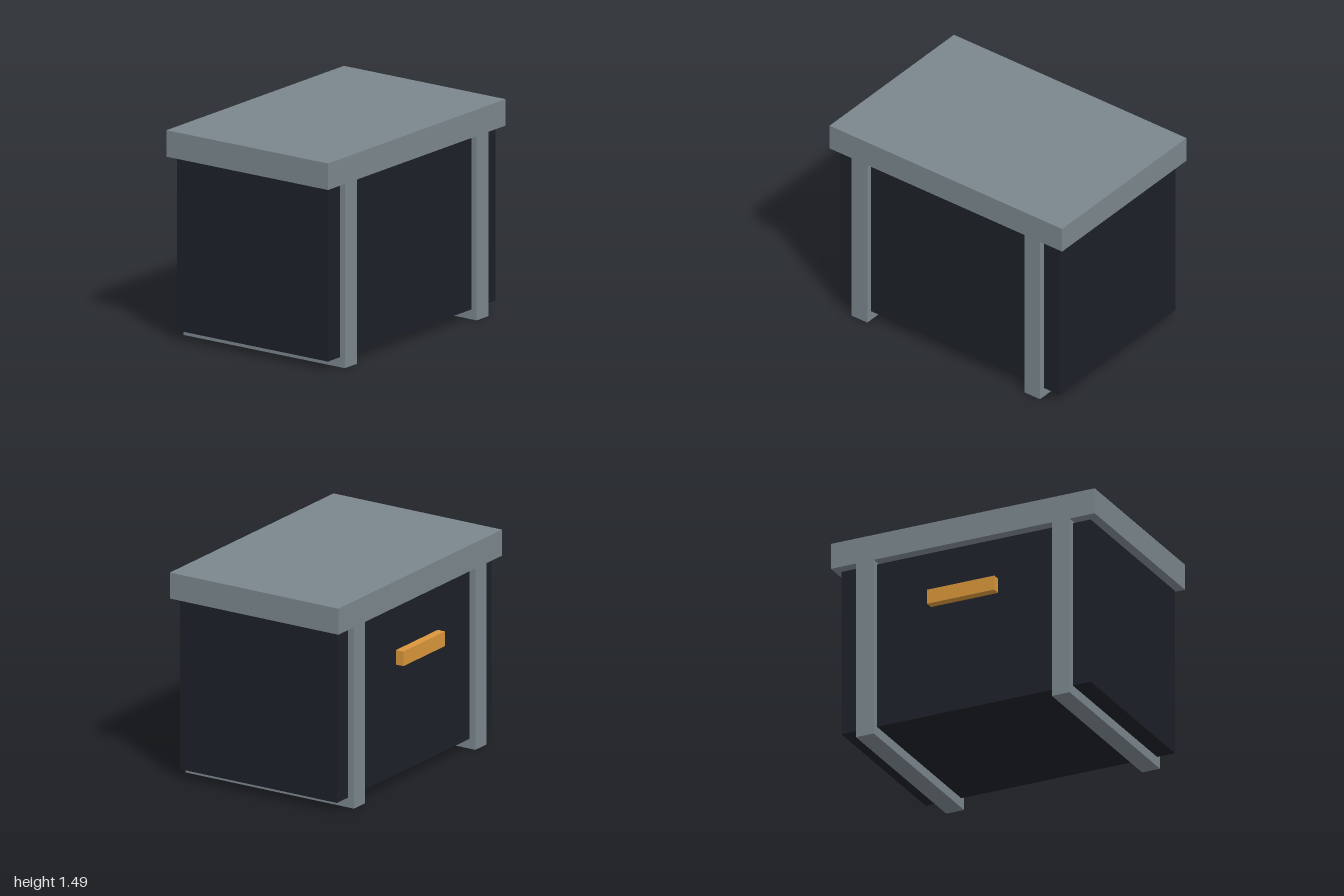
import * as THREE from 'three';

export function createModel() {
  const model = new THREE.Group();
  model.name = 'storageBox';

  const trim = new THREE.MeshStandardMaterial({ color: 0x7b878d });
  const dark = new THREE.MeshStandardMaterial({ color: 0x1c2028 });
  const amber = new THREE.MeshStandardMaterial({ color: 0xd9963a });

  // Box given by its minimum and maximum corners
  function box(name, material, [x0, y0, z0], [x1, y1, z1]) {
    const mesh = new THREE.Mesh(new THREE.BoxGeometry(x1 - x0, y1 - y0, z1 - z0), material);
    mesh.position.set((x0 + x1) / 2, (y0 + y1) / 2, (z0 + z1) / 2);
    mesh.name = name;
    model.add(mesh);
  }

  // Dark body, raised off the ground
  box('body', dark, [-0.945, 0.07, -0.622], [0.945, 1.285, 0.66]);

  // Overhanging lid
  box('lid', trim, [-1, 1.3, -0.67], [1, 1.487, 0.703]);

  // Bands wrapped around the body, serving as runners underneath
  box('leftBand', trim, [0.675, 0, -0.67], [0.81, 1.3, 0.703]);
  box('rightBand', trim, [-0.81, 0, -0.67], [-0.675, 1.3, 0.703]);

  // Handle bar on the back
  box('handle', amber, [-0.255, 0.87, -0.703], [0.255, 0.975, -0.643]);

  return model;
}
